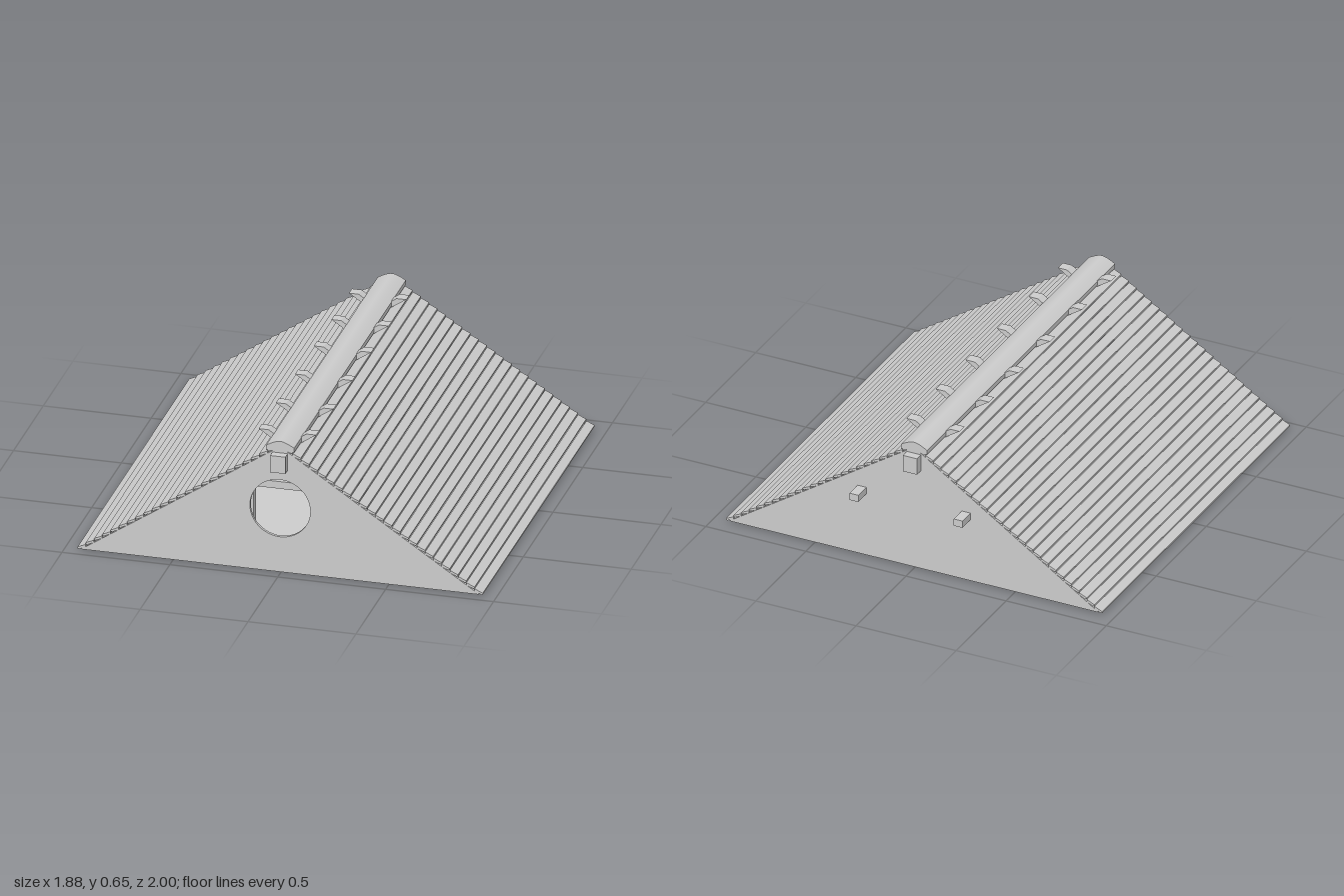
import * as THREE from 'three';

const FRONT = 0.96, BACK = -0.92, LENGTH = FRONT - BACK;
const EAVE_X = 0.94, EAVE_Y = 0.01, APEX_Y = 0.635;
const SLOPE = (APEX_Y - EAVE_Y) / EAVE_X;

export function createModel() {
  const model = new THREE.Group();
  const material = new THREE.MeshStandardMaterial({ color: 0xcccccc, flatShading: true });
  const smooth = new THREE.MeshStandardMaterial({ color: 0xcccccc });

  const add = (name, geometry, parent = model, mat = material) => {
    const mesh = new THREE.Mesh(geometry, mat);
    mesh.name = name;
    parent.add(mesh);
    return mesh;
  };
  const group = (name) => {
    const g = new THREE.Group();
    g.name = name;
    model.add(g);
    return g;
  };
  const polygon = (points) => new THREE.Shape(points.map(([x, y]) => new THREE.Vector2(x, y)));
  // Extrudes an x-y outline from z0 to z1
  const prism = (shape, z0, z1) =>
    new THREE.ExtrudeGeometry(shape, { depth: z1 - z0, bevelEnabled: false, curveSegments: 24 }).translate(0, 0, z0);
  // Box given by its limits
  const block = (x0, x1, y0, y1, z0, z1) =>
    new THREE.BoxGeometry(x1 - x0, y1 - y0, z1 - z0).translate((x0 + x1) / 2, (y0 + y1) / 2, (z0 + z1) / 2);

  // Gable walls, the front one with a round opening
  const gable = () => polygon([[-0.922, 0.008], [0.922, 0.008], [0, APEX_Y - 0.013]]);
  const frontShape = gable();
  const opening = new THREE.Path();
  opening.absarc(0, 0.32, 0.14, 0, Math.PI * 2, true);
  frontShape.holes.push(opening);
  add('frontWall', prism(frontShape, FRONT - 0.015, FRONT));
  add('backWall', prism(gable(), BACK, BACK + 0.015));
  add('floor', block(-0.92, 0.92, 0.008, 0.02, BACK, FRONT));

  // Overlapping roof boards, each with a raised lower edge
  const BOARDS = 24, INNER = 0.014, LIP = 0.008;
  const run = (EAVE_X - 0.02) / BOARDS;
  const roofY = (x) => APEX_Y - SLOPE * x;
  for (const side of [-1, 1]) {
    const roof = group(side > 0 ? 'leftRoof' : 'rightRoof');
    for (let i = 0; i < BOARDS; i++) {
      const low = EAVE_X - i * run, high = low - run;
      const points = [
        [low - 0.008, roofY(low) - 0.002],
        [low, roofY(low)],
        [low - 0.001, roofY(low) + LIP * 0.8],
        [high, roofY(high) - 0.002],
        [high, roofY(high) - INNER],
      ];
      add('roofBoard', prism(polygon(points.map(([x, y]) => [side * x, y])), BACK, FRONT), roof);
    }
  }

  // Rounded ridge cap
  const cap = new THREE.Shape();
  cap.moveTo(-0.065, 0.6);
  cap.lineTo(0.065, 0.6);
  cap.lineTo(0.065, 0.622);
  cap.quadraticCurveTo(0.022, 0.648, 0, 0.648);
  cap.quadraticCurveTo(-0.022, 0.648, -0.065, 0.622);
  add('ridgeCap', prism(cap, BACK, FRONT), model, smooth);

  // Ridge beam passing through both gables
  add('ridgeBeam', block(-0.035, 0.035, 0.51, 0.592, -0.96, 1));

  // Rafters crossing at the ridge, with tie beams between them
  const rafters = group('rafters'), ties = group('tieBeams');
  for (const z of [-0.705, -0.41, -0.115, 0.2, 0.52, 0.81]) {
    for (const side of [-1, 1]) {
      const topX = 0.133, topY = 0.64, footY = 0.006;
      const footX = topX - (topY - footY) / SLOPE;
      const outline = polygon([
        [side * footX, footY], [side * topX, topY],
        [side * (topX - 0.045), topY], [side * (footX - 0.045), footY],
      ]);
      add('rafter', prism(outline, z - 0.025, z + 0.025), rafters);
    }
    add('tieBeam', block(-0.35, 0.35, 0.355, 0.39, z - 0.022, z + 0.022), ties);
  }

  // Long purlins, projecting at the back, on posts that reach below the floor
  for (const side of [-1, 1]) {
    const x = side * 0.26;
    add('purlin', block(x - 0.022, x + 0.022, 0.32, 0.355, -1, FRONT - 0.015));
    for (const z of [0.52, -0.41]) {
      add('post', block(x - 0.022, x + 0.022, 0, 0.32, z - 0.022, z + 0.022));
    }
  }
  return model;
}
